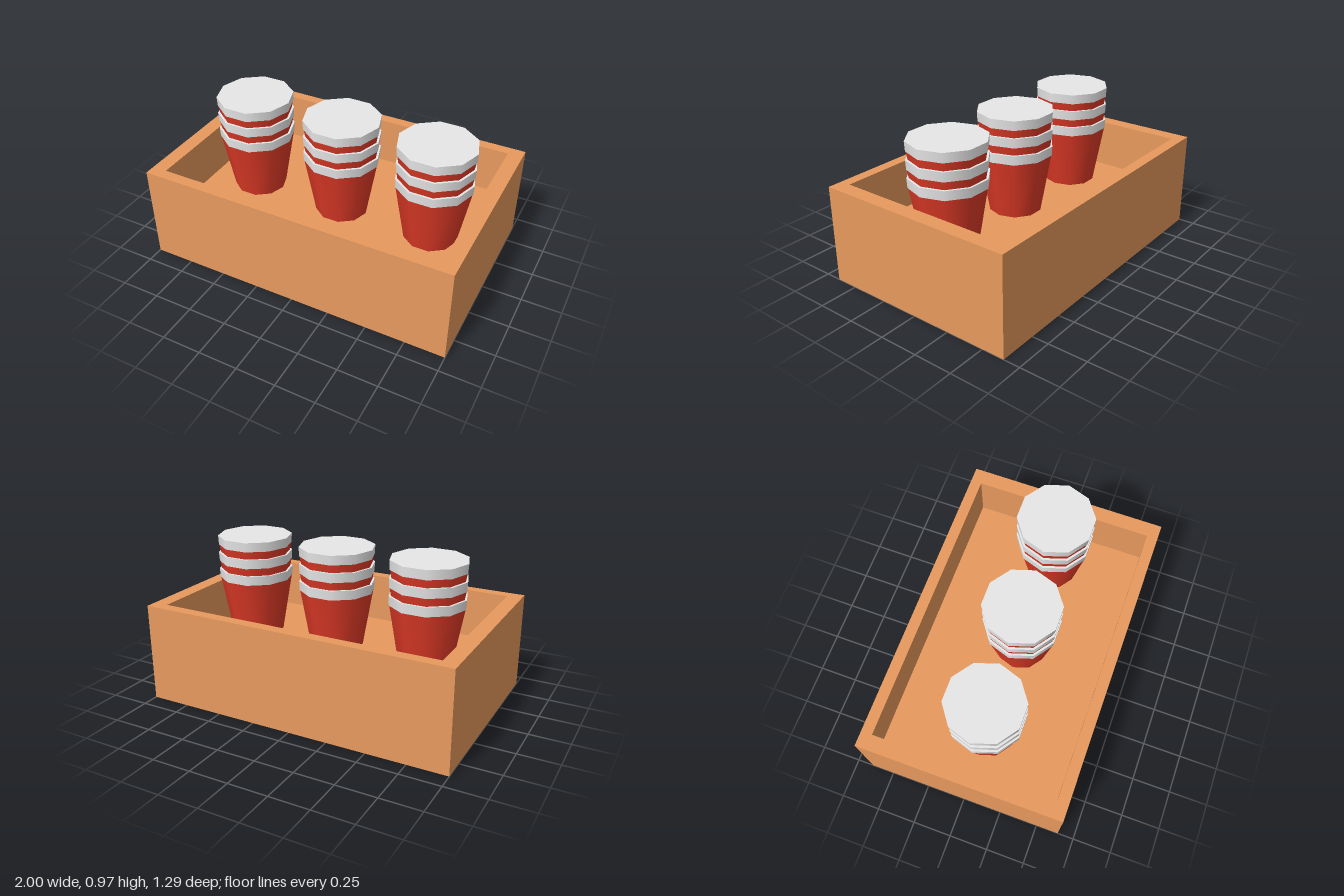
import * as THREE from 'three';

const SIDES = 10;

function makeMaterial(name, color) {
  const m = new THREE.MeshStandardMaterial({ color, side: THREE.DoubleSide });
  m.name = name;
  return m;
}

export function createModel() {
  const wood = makeMaterial('wood', 0xe99b5e);
  const red = makeMaterial('cupRed', 0xdd3926);
  const white = makeMaterial('rimWhite', 0xe9e9e9);

  const model = new THREE.Group();
  model.name = 'cupTray';

  const add = (parent, name, geometry, material, x = 0, y = 0, z = 0) => {
    const mesh = new THREE.Mesh(geometry, material);
    mesh.name = name;
    mesh.position.set(x, y, z);
    parent.add(mesh);
    return mesh;
  };

  // Tray: thin outer skirt, flat rim and a raised recessed floor, open underneath
  const H = 0.625, FLOOR = 0.31;
  const OX = 1, OZ = 0.645, IX = 0.905, IZ = 0.575;
  const tray = new THREE.Group();
  tray.name = 'tray';
  model.add(tray);

  // Four upright panels around a rectangle; inward ones face the middle
  function walls(name, hx, hz, y0, y1, inward) {
    const flip = inward ? Math.PI : 0;
    for (let i = 0; i < 4; i++) {
      const a = i * Math.PI / 2;
      const alongX = i % 2 === 0;
      const wall = add(tray, name, new THREE.PlaneGeometry(2 * (alongX ? hx : hz), y1 - y0), wood,
        Math.sin(a) * hx, (y0 + y1) / 2, Math.cos(a) * hz);
      wall.rotation.y = a + flip;
    }
  }
  walls('outerWall', OX, OZ, 0, H, false);
  walls('innerWall', IX, IZ, FLOOR, H, true);

  const rectangle = (path, x, z) =>
    path.moveTo(-x, -z).lineTo(x, -z).lineTo(x, z).lineTo(-x, z).closePath();
  const rim = rectangle(new THREE.Shape(), OX, OZ);
  rim.holes.push(rectangle(new THREE.Path(), IX, IZ));
  add(tray, 'trayRim', new THREE.ShapeGeometry(rim).rotateX(-Math.PI / 2), wood, 0, H, 0);
  add(tray, 'trayFloor', new THREE.PlaneGeometry(2 * IX, 2 * IZ).rotateX(-Math.PI / 2), wood, 0, FLOOR, 0);

  // Cups: three stacks of three nested tapered cups with pale rim bands
  const BAND = 0.06, DEPTH = 0.47;
  const body = new THREE.CylinderGeometry(0.2345, 0.163, DEPTH - BAND, SIDES, 1, true).rotateY(Math.PI / 2);
  const band = new THREE.CylinderGeometry(0.24, 0.237, BAND, SIDES).rotateY(Math.PI / 2);
  for (const x of [-0.58, 0.032, 0.64]) {
    const stack = new THREE.Group();
    stack.name = 'cupStack';
    stack.position.set(x, 0, 0.027);
    model.add(stack);
    for (let i = 0; i < 3; i++) {
      const top = 0.751 + i * 0.11;
      add(stack, 'cupBody', body, red, 0, top - (BAND + DEPTH) / 2, 0);
      add(stack, 'cupRim', band, white, 0, top - BAND / 2, 0);
    }
  }
  return model;
}
